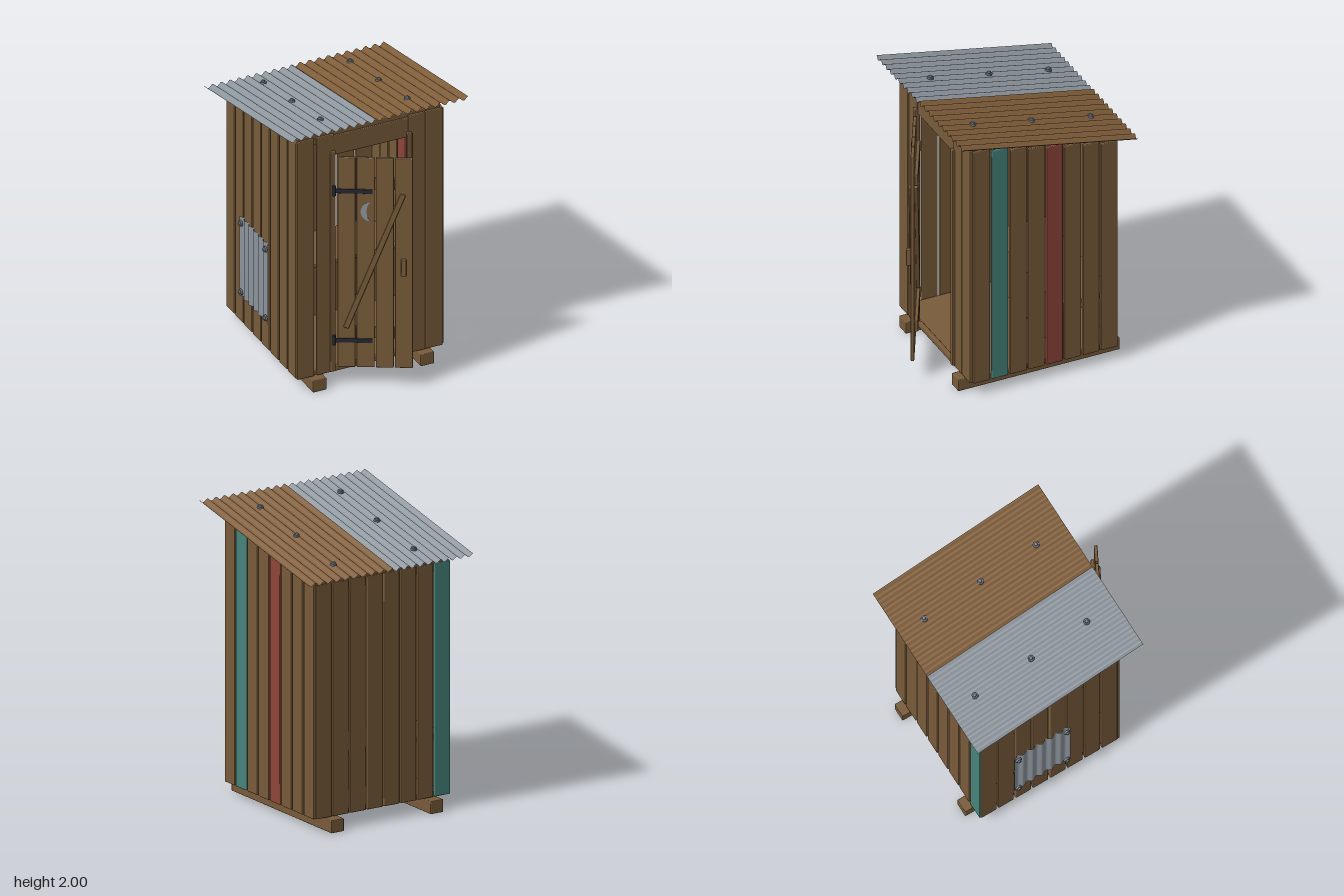
import * as THREE from 'three';
import { RoundedBoxGeometry } from 'three/addons/geometries/RoundedBoxGeometry.js';

const paint = (name, color, side = THREE.FrontSide) => {
  const m = new THREE.MeshStandardMaterial({ color, side });
  m.name = name;
  return m;
};

export function createModel() {
  const wood = paint('wood', 0x785b3a);
  const teal = paint('teal paint', 0x47837b);
  const red = paint('red paint', 0x8e4439);
  const iron = paint('dark iron', 0x252832);
  const steel = paint('bolt steel', 0x717982);
  const metal = paint('grey metal', 0x8e969e, THREE.DoubleSide);
  const rust = paint('rusty metal', 0x7f5d3a, THREE.DoubleSide);

  const model = new THREE.Group();
  model.name = 'shed';
  const group = (name, parent = model) => {
    const g = new THREE.Group();
    g.name = name;
    parent.add(g);
    return g;
  };
  const add = (parent, name, geometry, material) => {
    const m = new THREE.Mesh(geometry, material);
    m.name = name;
    parent.add(m);
    return m;
  };
  // softly bevelled board given by its extents on each axis
  const board = (parent, name, [x0, x1], [y0, y1], [z0, z1], material = wood) => {
    const s = [x1 - x0, y1 - y0, z1 - z0];
    const geo = new RoundedBoxGeometry(...s, 1, Math.min(0.006, Math.min(...s) * 0.3));
    const m = add(parent, name, geo, material);
    m.position.set((x0 + x1) / 2, (y0 + y1) / 2, (z0 + z1) / 2);
    return m;
  };
  // wavy sheet lying in the local xz plane, ridges along z
  const sheet = (parent, name, width, length, waves, amp, material) => {
    const geo = new THREE.PlaneGeometry(width, length, waves * 10, 1).rotateX(-Math.PI / 2);
    const p = geo.attributes.position;
    for (let i = 0; i < p.count; i++) {
      p.setY(i, amp * Math.cos((p.getX(i) / width + 0.5) * waves * Math.PI * 2));
    }
    geo.computeVertexNormals();
    return add(parent, name, geo, material);
  };
  // washer with a smaller head, axis along local y
  const bolt = (parent, x, z) => {
    const w = add(parent, 'boltWasher', new THREE.CylinderGeometry(0.021, 0.022, 0.012, 14), steel);
    w.position.set(x, 0.014, z);
    const h = add(parent, 'boltHead', new THREE.CylinderGeometry(0.011, 0.014, 0.012, 8), steel);
    h.position.set(x, 0.024, z);
  };

  // base: skids and floor
  const base = group('base');
  for (const x of [-0.395, 0.385]) board(base, 'skid', [x - 0.05, x + 0.05], [0, 0.088], [-0.685, 0.49]);
  board(base, 'floor', [-0.51, 0.505], [0.09, 0.12], [-0.605, 0.425]);

  // side and back walls of eight spaced planks
  const walls = group('walls');
  const roofSlope = 0.26 / 1.27;
  for (let i = 0; i < 8; i++) {
    const z1 = 0.425 - i * 0.1325, z0 = z1 - 0.119;
    const top = 1.88 - i * 0.0272;
    const color = i === 1 ? teal : i === 4 ? red : wood;
    board(walls, 'rightSidePlank', [-0.54, -0.515], [0.095, top], [z0, z1]);
    board(walls, 'leftSidePlank', [0.508, 0.533], [0.095, top], [z0, z1], color);
    const x0 = -0.535 + i * 0.1325;
    board(walls, 'backPlank', [x0, x0 + 0.121], [0.095, 1.685], [-0.63, -0.607], i === 0 ? teal : wood);
  }
  for (const x0 of [-0.537, -0.393, 0.268, 0.393]) {
    board(walls, 'frontPlank', [x0, x0 + 0.124], [0.095, 1.89], [0.422, 0.445]);
  }
  board(walls, 'frontBeam', [-0.515, 0.508], [1.825, 1.903], [0.345, 0.418]);
  board(walls, 'backBeam', [-0.515, 0.508], [1.62, 1.702], [-0.607, -0.54]);

  // doorway trim
  const frame = group('doorFrame');
  board(frame, 'header', [-0.28, 0.275], [1.73, 1.875], [0.42, 0.44]);
  for (const x of [-0.283, 0.272]) board(frame, 'jamb', [x - 0.018, x + 0.018], [0.105, 1.77], [0.435, 0.463]);
  board(frame, 'threshold', [-0.265, 0.255], [0.095, 0.132], [0.415, 0.445]);

  // bench along the back wall
  const bench = group('bench');
  board(bench, 'benchFront', [-0.51, 0.505], [0.12, 0.485], [-0.245, -0.22]);
  board(bench, 'benchSeat', [-0.512, 0.506], [0.485, 0.512], [-0.605, -0.21]);

  // door, swung ajar about its hinge edge
  const door = group('door');
  door.position.set(-0.265, 0, 0.463);
  door.rotation.y = THREE.MathUtils.degToRad(-28);
  for (let i = 0; i < 4; i++) {
    const u = 0.01 + i * 0.125;
    board(door, 'doorPlank', [u, u + 0.117], [0.145, 1.73], [-0.012, 0.012]);
  }
  for (const y of [1.52, 0.393]) {
    board(door, 'doorBatten', [0.03, 0.465], [y - 0.042, y + 0.042], [-0.036, -0.012]);
  }
  const brace = board(door, 'doorBrace', [-0.018, 0.018], [-0.54, 0.54], [-0.036, 0.028]);
  brace.position.set(0.252, 0.955, -0.004);
  brace.rotation.z = -Math.atan2(0.38, 1.03);
  board(door, 'doorHandle', [0.425, 0.46], [0.855, 0.975], [0.012, 0.042]);
  for (const y of [1.48, 0.35]) {
    board(door, 'hingeStrap', [-0.01, 0.24], [y - 0.016, y + 0.016], [0.012, 0.02], iron);
    const pin = add(door, 'hingeKnuckle', new THREE.CylinderGeometry(0.012, 0.012, 0.072, 12), iron);
    pin.position.set(-0.012, y, 0.014);
  }

  // crescent showing on both faces of the door
  const moon = new THREE.Shape();
  moon.absarc(0, 0, 0.075, Math.PI / 2, Math.PI * 1.5, false);
  moon.absellipse(0, 0, 0.036, 0.075, Math.PI * 1.5, Math.PI / 2, true, 0);
  const moonGeo = new THREE.ExtrudeGeometry(moon, { depth: 0.028, bevelEnabled: false, curveSegments: 16 });
  add(door, 'crescent', moonGeo, metal).position.set(0.236, 1.325, -0.014);

  // sloping roof of two corrugated sheets
  const roof = group('roof');
  roof.position.set(0, 1.856, -0.082);
  roof.rotation.x = -Math.atan(roofSlope);
  const length = 1.27 * Math.hypot(1, roofSlope);
  sheet(roof, 'greyRoofSheet', 0.635, length, 10, 0.011, metal).position.x = -0.3375;
  sheet(roof, 'rustyRoofSheet', 0.675, length, 10, 0.011, rust).position.set(0.3125, 0.004, 0);
  for (const x of [-0.315, 0.315]) for (const z of [-0.455, -0.015, 0.42]) bolt(roof, x, z);

  // corrugated patch on the side wall
  const patch = group('wallPatch');
  patch.position.set(-0.552, 0.61, -0.165);
  patch.quaternion.setFromRotationMatrix(new THREE.Matrix4().makeBasis(
    new THREE.Vector3(0, 0, 1), new THREE.Vector3(-1, 0, 0), new THREE.Vector3(0, -1, 0)));
  sheet(patch, 'patchSheet', 0.43, 0.6, 6, 0.009, metal);
  for (const x of [-0.185, 0.185]) for (const z of [-0.26, 0.26]) bolt(patch, x, z);

  return model;
}
